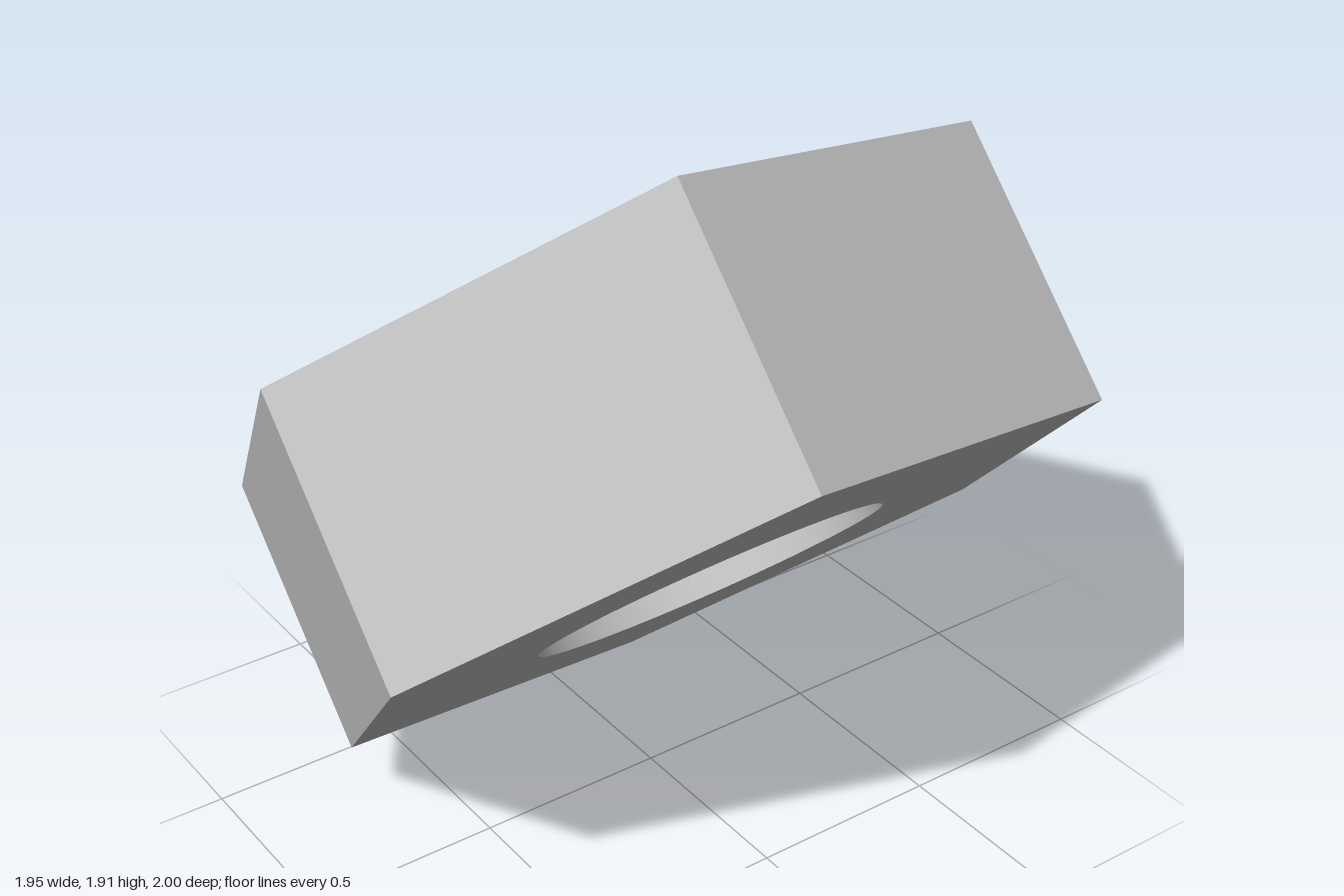
import * as THREE from 'three';
import { toCreasedNormals } from 'three/addons/utils/BufferGeometryUtils.js';

const RADIUS = 1.034;     // hexagon corner radius
const HOLE = 0.455;       // bore radius
const THICKNESS = 0.728;
const TILT = 0.766;       // lean of the nut about z
const TURN = -0.259;      // spin of the hexagon about its own axis

export function createModel() {
  const steel = new THREE.MeshStandardMaterial({ color: 0xc0c0c0 });
  steel.name = 'steelGrey';

  // hexagon outline with a round bore
  const corners = [];
  for (let i = 0; i < 6; i++) {
    const a = TURN + (i * Math.PI) / 3;
    corners.push(new THREE.Vector2(RADIUS * Math.cos(a), RADIUS * Math.sin(a)));
  }
  const outline = new THREE.Shape(corners);
  const bore = new THREE.Path();
  bore.absarc(0, 0, HOLE, 0, Math.PI * 2, true);
  outline.holes.push(bore);

  // sharp hexagon edges, smooth bore wall
  const solid = new THREE.ExtrudeGeometry(outline, {
    depth: THICKNESS, bevelEnabled: false, curveSegments: 36,
  });
  solid.translate(0, 0, -THICKNESS / 2);
  const geometry = toCreasedNormals(solid, 0.5);

  // lay the nut flat, lean it over and stand it on its lowest edge
  geometry.rotateX(-Math.PI / 2);
  geometry.rotateZ(TILT);
  geometry.computeBoundingBox();
  geometry.translate(0, -geometry.boundingBox.min.y, 0);

  const nut = new THREE.Mesh(geometry, steel);
  nut.name = 'hexNut';

  const model = new THREE.Group();
  model.name = 'tiltedHexNut';
  model.add(nut);
  return model;
}
